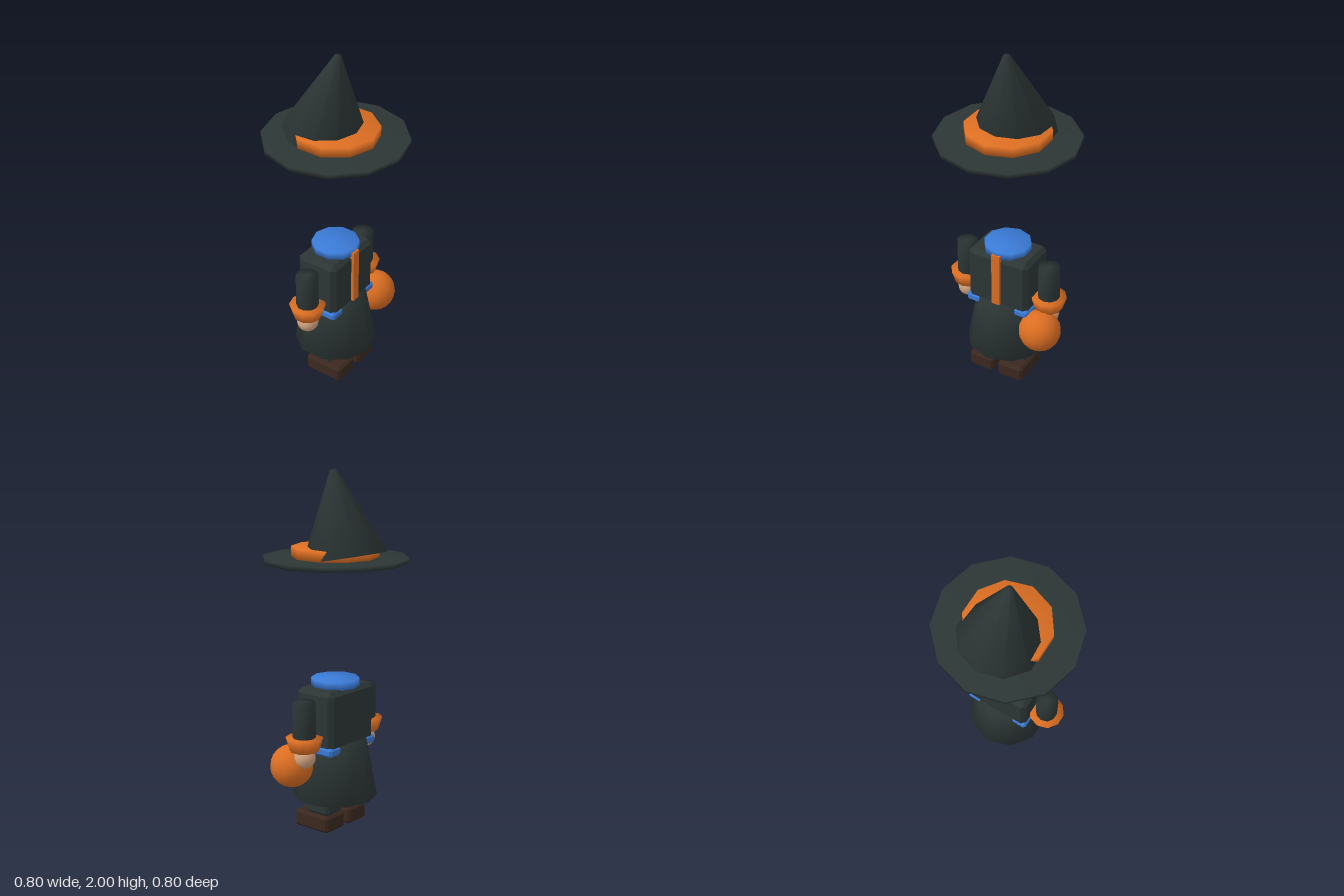
import * as THREE from 'three';
import { mergeVertices } from 'three/addons/utils/BufferGeometryUtils.js';
import { ConvexGeometry } from 'three/addons/geometries/ConvexGeometry.js';

const paint = (name, hex) => {
  const m = new THREE.MeshStandardMaterial({ color: hex });
  m.name = name;
  return m;
};

// Low-poly drum with normals blended over its rims
function drum(rTop, rBottom, height, sides) {
  const g = new THREE.CylinderGeometry(rTop, rBottom, height, sides);
  g.deleteAttribute('normal');
  g.deleteAttribute('uv');
  const merged = mergeVertices(g, 1e-4);
  merged.computeVertexNormals();
  return merged;
}

// Box with flat chamfered edges
function chamferBox(w, h, d, b) {
  const pts = [];
  for (const sx of [-1, 1]) for (const sy of [-1, 1]) for (const sz of [-1, 1]) {
    const x = w / 2, y = h / 2, z = d / 2;
    pts.push(new THREE.Vector3(sx * x, sy * (y - b), sz * (z - b)));
    pts.push(new THREE.Vector3(sx * (x - b), sy * y, sz * (z - b)));
    pts.push(new THREE.Vector3(sx * (x - b), sy * (y - b), sz * z));
  }
  return new ConvexGeometry(pts);
}

export function createModel() {
  const model = new THREE.Group();
  model.name = 'wizardOutfit';

  const cloth = paint('dark cloth', 0x2c3635);
  const orange = paint('orange trim', 0xdc6e22);
  const blue = paint('blue cloth', 0x3a7ad6);
  const skin = paint('skin', 0xd3a480);
  const leather = paint('brown leather', 0x3b281f);

  const add = (name, geometry, material, x, y, z) => {
    const mesh = new THREE.Mesh(geometry, material);
    mesh.name = name;
    mesh.position.set(x, y, z);
    model.add(mesh);
    return mesh;
  };

  // Floating hat: brim, band and forward-tilted cone
  add('hatBrim', drum(0.4, 0.4, 0.026, 12), cloth, 0, 1.517, 0);
  add('hatBand', drum(0.24, 0.24, 0.06, 10), orange, 0, 1.557, 0);
  const cone = add('hatCone', drum(0.018, 0.234, 0.472, 10), cloth, 0, 1.765, -0.028);
  cone.rotation.x = 0.184;

  // Coat
  add('collar', drum(0.135, 0.135, 0.045, 10), blue, 0, 0.8325, 0);
  add('torso', chamferBox(0.38, 0.335, 0.254, 0.025), cloth, 0, 0.6475, 0);
  add('frontStripe', new THREE.BoxGeometry(0.05, 0.33, 0.025), orange, 0, 0.67, 0.131);
  add('belt', chamferBox(0.395, 0.05, 0.262, 0.012), blue, 0, 0.481, 0);
  add('skirt', drum(0.175, 0.237, 0.33, 10), cloth, 0, 0.34, 0);

  // Arms and legs, mirrored
  for (const [side, s] of [['left', 1], ['right', -1]]) {
    add(side + 'Sleeve', drum(0.063, 0.063, 0.26, 10), cloth, s * 0.265, 0.64, 0);
    add(side + 'Cuff', drum(0.103, 0.08, 0.075, 10), orange, s * 0.265, 0.5325, 0);
    add(side + 'Hand', new THREE.SphereGeometry(0.062, 14, 10), skin, s * 0.265, 0.453, 0);
    add(side + 'Leg', chamferBox(0.132, 0.24, 0.156, 0.014), cloth, s * 0.098, 0.215, 0);
    add(side + 'Shoe', chamferBox(0.158, 0.095, 0.238, 0.014), leather, s * 0.096, 0.0475, 0.034);
  }

  // Round ball held beside the left hand
  add('heldBall', new THREE.SphereGeometry(0.12, 18, 12), orange, 0.262, 0.388, 0.095);

  return model;
}
